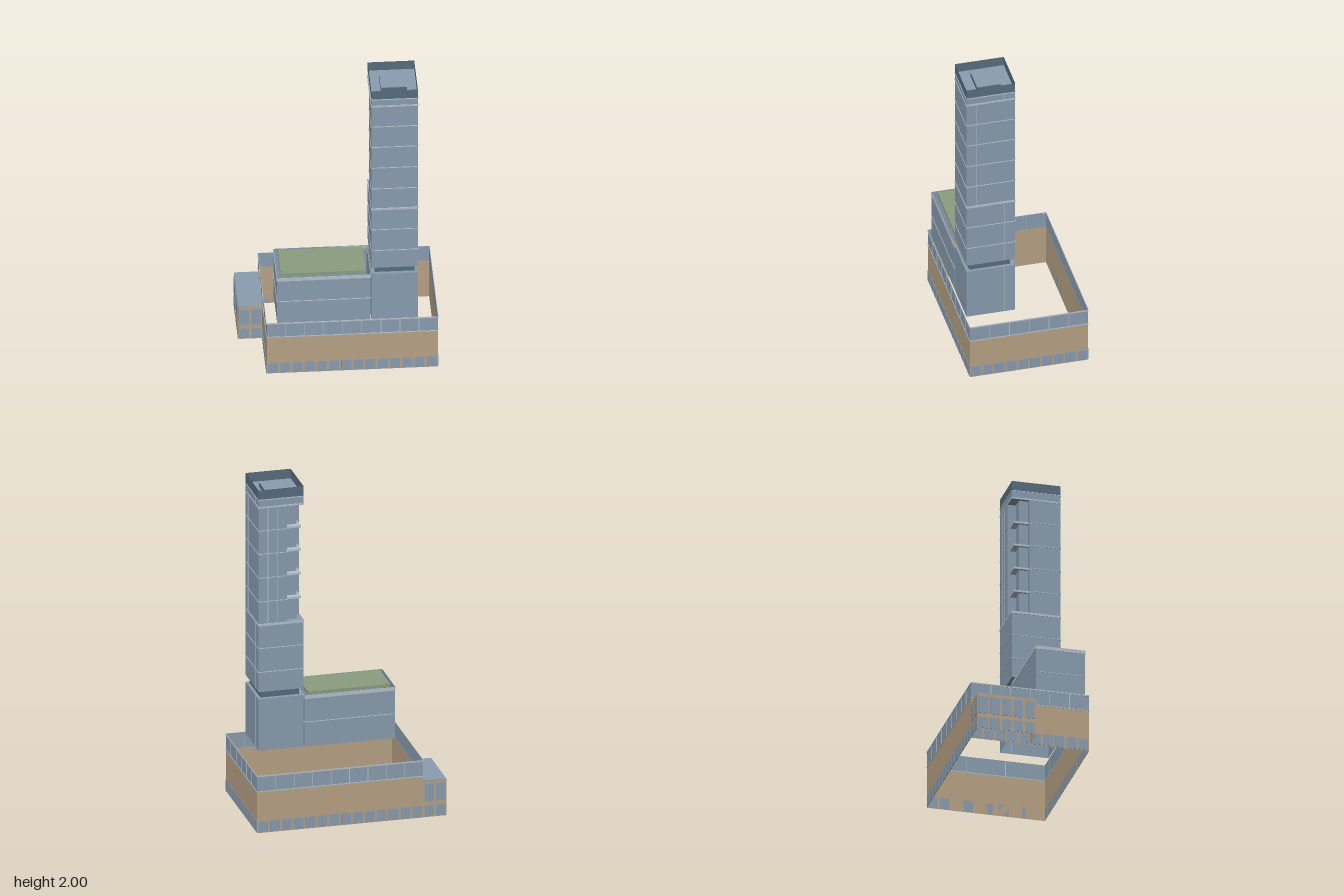
import * as THREE from 'three';

const mat = (name, color) => {
  const m = new THREE.MeshStandardMaterial({ color, side: THREE.DoubleSide });
  m.name = name;
  return m;
};

export function createModel() {
  const root = new THREE.Group();
  const glass = mat('blue glass', 0x8a9db0);
  const dark = mat('dark blue metal', 0x586d80);
  const stone = mat('tan stone', 0xb8a286);
  const trim = mat('pale trim', 0xb4c1cc);
  const green = mat('roof planting', 0x8c9d80);

  const section = (name) => {
    const g = new THREE.Group();
    g.name = name;
    root.add(g);
    return g;
  };
  const add = (parent, name, geo, m) => {
    const mesh = new THREE.Mesh(geo, m);
    mesh.name = name;
    parent.add(mesh);
    return mesh;
  };
  const box = (parent, name, x0, x1, y0, y1, z0, z1, m) =>
    add(parent, name, new THREE.BoxGeometry(x1 - x0, y1 - y0, z1 - z0), m)
      .position.set((x0 + x1) / 2, (y0 + y1) / 2, (z0 + z1) / 2);

  // Open rectangular shell: four upright walls without floor or roof
  const shell = (parent, name, r, y0, y1, m) => {
    const c = [[r.x0, r.z1], [r.x1, r.z1], [r.x1, r.z0], [r.x0, r.z0]];
    const pos = [];
    c.forEach(([ax, az], i) => {
      const [bx, bz] = c[(i + 1) % 4];
      pos.push(ax, y0, az, bx, y0, bz, bx, y1, bz, ax, y0, az, bx, y1, bz, ax, y1, az);
    });
    const geo = new THREE.BufferGeometry();
    geo.setAttribute('position', new THREE.Float32BufferAttribute(pos, 3));
    geo.computeVertexNormals();
    add(parent, name, geo, m);
  };
  // Thin plate on one outer side of a rectangle; u runs along x or z
  const T = 0.003;
  const plate = (parent, name, r, side, u0, u1, y0, y1, m) => {
    if (side === 'front') box(parent, name, u0, u1, y0, y1, r.z1, r.z1 + T, m);
    if (side === 'back') box(parent, name, u0, u1, y0, y1, r.z0 - T, r.z0, m);
    if (side === 'plusX') box(parent, name, r.x1, r.x1 + T, y0, y1, u0, u1, m);
    if (side === 'minusX') box(parent, name, r.x0 - T, r.x0, y0, y1, u0, u1, m);
  };
  const sides = ['front', 'back', 'plusX', 'minusX'];
  const span = (r, side) => (side === 'front' || side === 'back' ? [r.x0, r.x1] : [r.z0, r.z1]);
  const ring = (parent, name, r, y, h, m, cut = {}) => sides.forEach((s) => {
    const [a, b] = span(r, s);
    plate(parent, name, r, s, cut[s] ?? a, b, y - h / 2, y + h / 2, m);
  });
  // Evenly spaced window panes along one side
  const windows = (parent, r, side, count, y0, y1) => {
    const [a, b] = span(r, side);
    const p = (b - a) / count;
    for (let i = 0; i < count; i++) {
      plate(parent, 'window', r, side, a + (i + 0.09) * p, a + (i + 0.91) * p, y0, y1, glass);
    }
  };
  // Solid prism from a plan outline given as x, z pairs
  const prism = (parent, name, plan, y0, y1, m) => {
    const shape = new THREE.Shape(plan.map(([x, z]) => new THREE.Vector2(x, -z)));
    const geo = new THREE.ExtrudeGeometry(shape, { depth: y1 - y0, bevelEnabled: false });
    geo.rotateX(-Math.PI / 2);
    geo.translate(0, y0, 0);
    add(parent, name, geo, m);
  };

  // Podium: open stone walls with a glazed upper band
  const podium = section('podium');
  const P = { x0: -0.437, x1: 0.575, z0: -0.361, z1: 0.358 };
  shell(podium, 'podiumWalls', P, 0, 0.26, stone);
  shell(podium, 'podiumGlassBand', P, 0.26, 0.362, glass);
  ring(podium, 'podiumRim', P, 0.358, 0.008, trim);
  ring(podium, 'podiumBandSill', P, 0.261, 0.005, trim);
  sides.forEach((s) => {
    const [a, b] = span(P, s);
    const long = s === 'front' || s === 'back';
    windows(podium, P, s, long ? 14 : 10, 0.004, 0.075);
    const n = long ? 9 : 6;
    for (let i = 1; i < n; i++) {
      const u = a + ((b - a) * i) / n;
      plate(podium, 'mullion', P, s, u - 0.002, u + 0.002, 0.262, 0.356, trim);
    }
  });

  // Low annex beside the podium
  const annex = section('annex');
  const A = { x0: -0.579, x1: -0.438, z0: -0.36, z1: -0.006 };
  shell(annex, 'annexWalls', A, 0, 0.23, stone);
  box(annex, 'annexRoof', A.x0, A.x1, 0.226, 0.231, A.z0, A.z1, glass);
  [['front', 2], ['back', 2], ['minusX', 5]].forEach(([s, n]) => {
    windows(annex, A, s, n, 0.004, 0.075);
    windows(annex, A, s, n, 0.1, 0.21);
  });

  // Middle block with a planted roof slab
  const mid = section('middleBlock');
  const M = { x0: -0.375, x1: 0.176, z0: 0.05, z1: 0.35 };
  shell(mid, 'middleWalls', M, 0.355, 0.68, glass);
  ring(mid, 'middleRim', M, 0.667, 0.022, trim);
  ring(mid, 'floorLine', M, 0.51, 0.004, trim);
  box(mid, 'plantedRoof', -0.352, 0.15, 0.672, 0.69, 0.076, 0.322, green);

  // Tower base and recessed neck
  const tower = section('tower');
  const W = { x0: 0.182, x1: 0.457, z0: 0.053, z1: 0.35 };
  const full = [[W.x0, W.z0], [W.x1, W.z0], [W.x1, W.z1], [W.x0, W.z1]];
  shell(tower, 'towerBase', W, 0.355, 0.68, glass);
  box(tower, 'towerBaseRoof', W.x0, W.x1, 0.676, 0.68, W.z0, W.z1, glass);
  box(tower, 'towerNeck', 0.203, 0.438, 0.68, 0.725, 0.08, 0.328, dark);

  // Tower shaft, with a stepped corner notch in its upper part
  const notched = [[0.282, W.z0], [W.x1, W.z0], [W.x1, W.z1], [W.x0, W.z1],
    [W.x0, 0.16], [0.212, 0.16], [0.212, 0.103], [0.282, 0.103]];
  prism(tower, 'lowerShaft', full, 0.725, 1.15, glass);
  prism(tower, 'upperShaft', notched, 1.15, 1.89, glass);
  prism(tower, 'shaftCap', full, 1.89, 1.94, glass);
  [[0.85, 0.004], [1.0, 0.004], [1.148, 0.014], [1.89, 0.01], [1.938, 0.005]]
    .forEach(([y, h]) => ring(tower, 'floorLine', W, y, h, trim));
  [1.295, 1.445, 1.595, 1.742].forEach((y) => {
    ring(tower, 'floorLine', W, y, 0.004, trim, { back: 0.282, minusX: 0.16 });
    box(tower, 'balcony', 0.195, 0.284, y - 0.006, y + 0.006, 0.068, 0.162, trim);
  });

  // Upright joints on the shaft
  [['plusX', 0.12, 0.362, 0.68], ['plusX', 0.12, 0.725, 1.15], ['plusX', 0.12, 1.89, 1.94],
    ['plusX', 0.29, 1.15, 1.89], ['back', 0.34, 1.15, 1.89], ['back', 0.4, 1.15, 1.89]]
    .forEach(([s, u, y0, y1]) => plate(tower, 'joint', W, s, u - 0.002, u + 0.002, y0, y1, trim));

  // Dark parapet and plant room on the roof
  shell(tower, 'parapet', W, 1.94, 2, dark);
  box(tower, 'plantRoom', 0.243, 0.398, 1.94, 1.965, 0.124, 0.27, dark);
  box(tower, 'plantRoomRoof', 0.243, 0.398, 1.965, 1.97, 0.124, 0.27, glass);
  return root;
}
